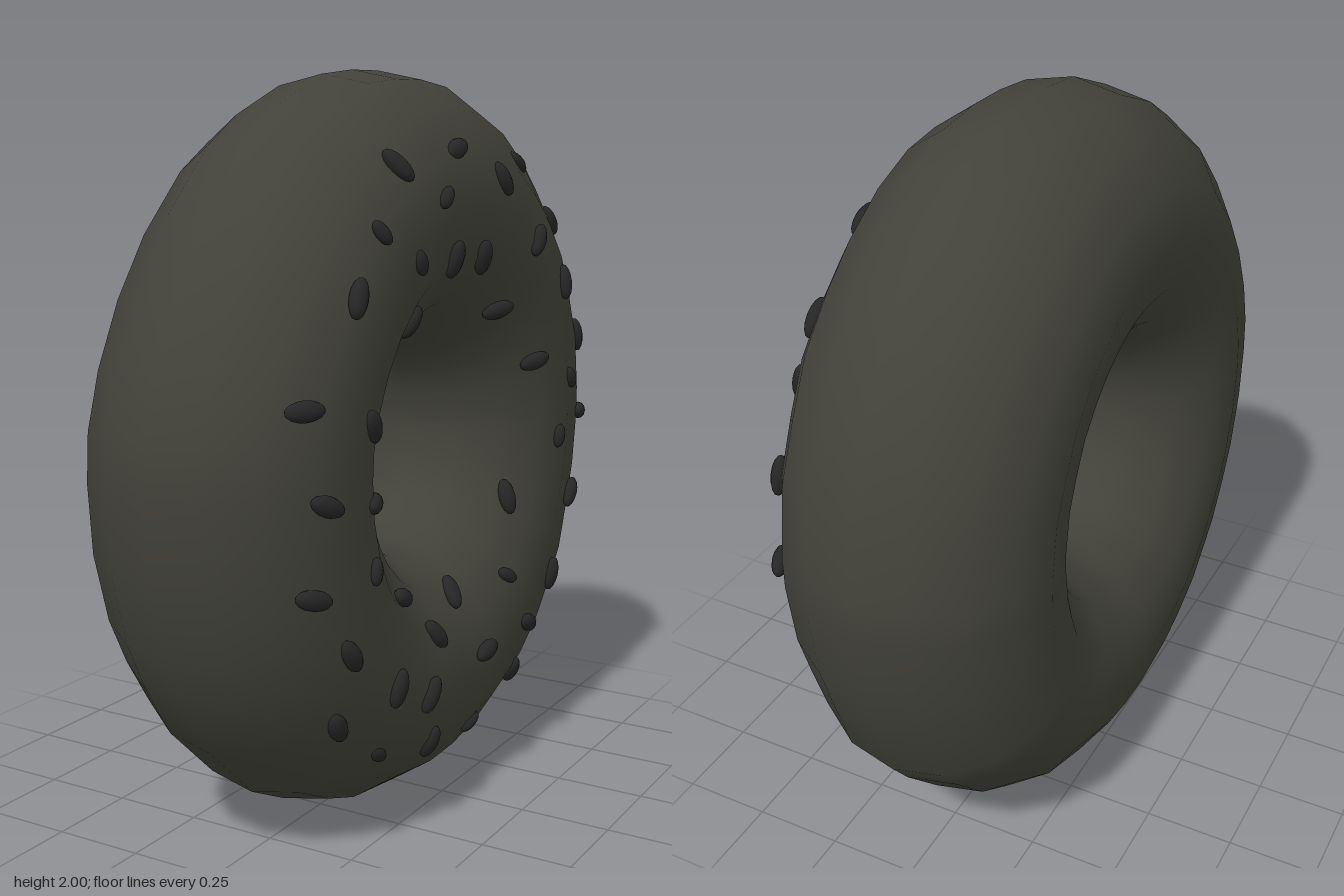
import * as THREE from 'three';

const CY = 0.995;            // height of the ring's axis
const CX = -0.015, HX = 0.355; // middle and half thickness of the ring along x
const HOLE = 0.288;          // hole radius
const SIDES = 16;

// Slightly uneven outer edge of the ring, as [z, y]
const outline = [
  [-0.09, 2], [-0.24, 1.985], [-0.4, 1.93], [-0.55, 1.84], [-0.67, 1.74], [-0.79, 1.61],
  [-0.87, 1.45], [-0.94, 1.29], [-0.97, 1.08], [-0.97, 0.98], [-0.94, 0.78], [-0.89, 0.63],
  [-0.83, 0.46], [-0.76, 0.37], [-0.62, 0.22], [-0.48, 0.12], [-0.25, 0.03], [-0.1, 0.005],
  [0.05, 0], [0.28, 0.03], [0.41, 0.075], [0.56, 0.15], [0.74, 0.32], [0.83, 0.46],
  [0.9, 0.6], [0.955, 0.8], [0.97, 1], [0.96, 1.14], [0.91, 1.3], [0.82, 1.48],
  [0.7, 1.65], [0.53, 1.82], [0.4, 1.9], [0.2, 1.98], [0.05, 1.997],
];

// Seeds as [z, y, tilt in degrees]
const largeSeeds = [
  [0.33, 1.75, -55], [0.05, 1.79, 15], [-0.175, 1.71, -58], [-0.37, 1.75, -25],
  [0.585, 1.45, 65], [0.095, 1.51, 90], [-0.075, 1.505, -75], [-0.385, 1.535, 52],
  [-0.59, 1.58, -50], [-0.605, 1.4, 85], [0.28, 1.365, 40], [-0.26, 1.345, 15],
  [0.775, 1.21, 0], [0.525, 1.14, -55], [-0.45, 1.18, 15], [-0.76, 1.225, -75],
  [0.73, 0.985, -22], [0.48, 0.94, 0], [-0.785, 0.985, -8], [0.755, 0.765, -15],
  [-0.365, 0.785, 85], [-0.685, 0.745, 45], [0.31, 0.655, -20], [0.62, 0.595, -55],
  [0.165, 0.52, -50], [-0.025, 0.58, 60], [-0.555, 0.515, 85], [0.595, 0.395, -55],
  [0.41, 0.45, 75], [0.24, 0.38, 55], [-0.095, 0.405, 10], [-0.375, 0.41, -25],
  [0.175, 0.22, -85], [-0.35, 0.265, -65],
];
const smallSeeds = [
  [0.17, 1.67, 45], [0.465, 1.595, -55], [0.31, 1.515, -60], [-0.64, 1.11, -60],
  [-0.575, 0.94, 75], [0.515, 0.78, 70], [-0.275, 0.575, -30], [0.405, 0.26, -35],
  [-0.08, 0.19, 45],
];

// Ring: an elliptical section carried round the outline
function ringGeometry() {
  const pos = [], index = [], n = outline.length;
  outline.forEach(([z, y], i) => {
    const R = Math.hypot(z, y - CY), dz = z / R, dy = (y - CY) / R;
    const mid = (R + HOLE) / 2, half = (R - HOLE) / 2;
    for (let j = 0; j < SIDES; j++) {
      const a = (j / SIDES) * Math.PI * 2, r = mid + half * Math.cos(a);
      pos.push(CX + HX * Math.sin(a), CY + dy * r, dz * r);
      const p = i * SIDES, q = ((i + 1) % n) * SIDES, k = (j + 1) % SIDES;
      index.push(p + j, p + k, q + j, q + j, p + k, q + k);
    }
  });
  const geo = new THREE.BufferGeometry();
  geo.setAttribute('position', new THREE.Float32BufferAttribute(pos, 3));
  geo.setIndex(index);
  geo.computeVertexNormals();
  return geo;
}

export function createModel() {
  const model = new THREE.Group();
  const dough = new THREE.MeshStandardMaterial({ color: 0x42423a });
  const dark = new THREE.MeshStandardMaterial({ color: 0x262626 });

  const ring = new THREE.Mesh(ringGeometry(), dough);
  ring.name = 'ring';
  model.add(ring);

  // Seeds lie flat on the +x face of the ring
  const seeds = new THREE.Group();
  seeds.name = 'seeds';
  const seedGeo = new THREE.SphereGeometry(1, 12, 8);
  const addSeed = ([z, y, tilt], length, width) => {
    const r = Math.hypot(z, y - CY), mid = 0.636, half = 0.348;
    const t = (r - mid) / half, s = Math.sqrt(1 - t * t);
    const normal = new THREE.Vector3(s / HX, (t / half) * (y - CY) / r, (t / half) * z / r).normalize();
    const a = THREE.MathUtils.degToRad(tilt);
    const along = new THREE.Vector3(0, Math.sin(a), -Math.cos(a));
    along.x = -normal.dot(along) / normal.x;
    along.normalize();
    const across = new THREE.Vector3().crossVectors(normal, along);
    const seed = new THREE.Mesh(seedGeo, dark);
    seed.name = 'seed';
    seed.quaternion.setFromRotationMatrix(new THREE.Matrix4().makeBasis(normal, along, across));
    seed.scale.set(width * 0.42, length / 2, width / 2);
    seed.position.set(CX + HX * s, y, z).addScaledVector(normal, 0.002);
    seeds.add(seed);
  };
  largeSeeds.forEach((s) => addSeed(s, 0.105, 0.052));
  smallSeeds.forEach((s) => addSeed(s, 0.072, 0.04));
  model.add(seeds);
  return model;
}
